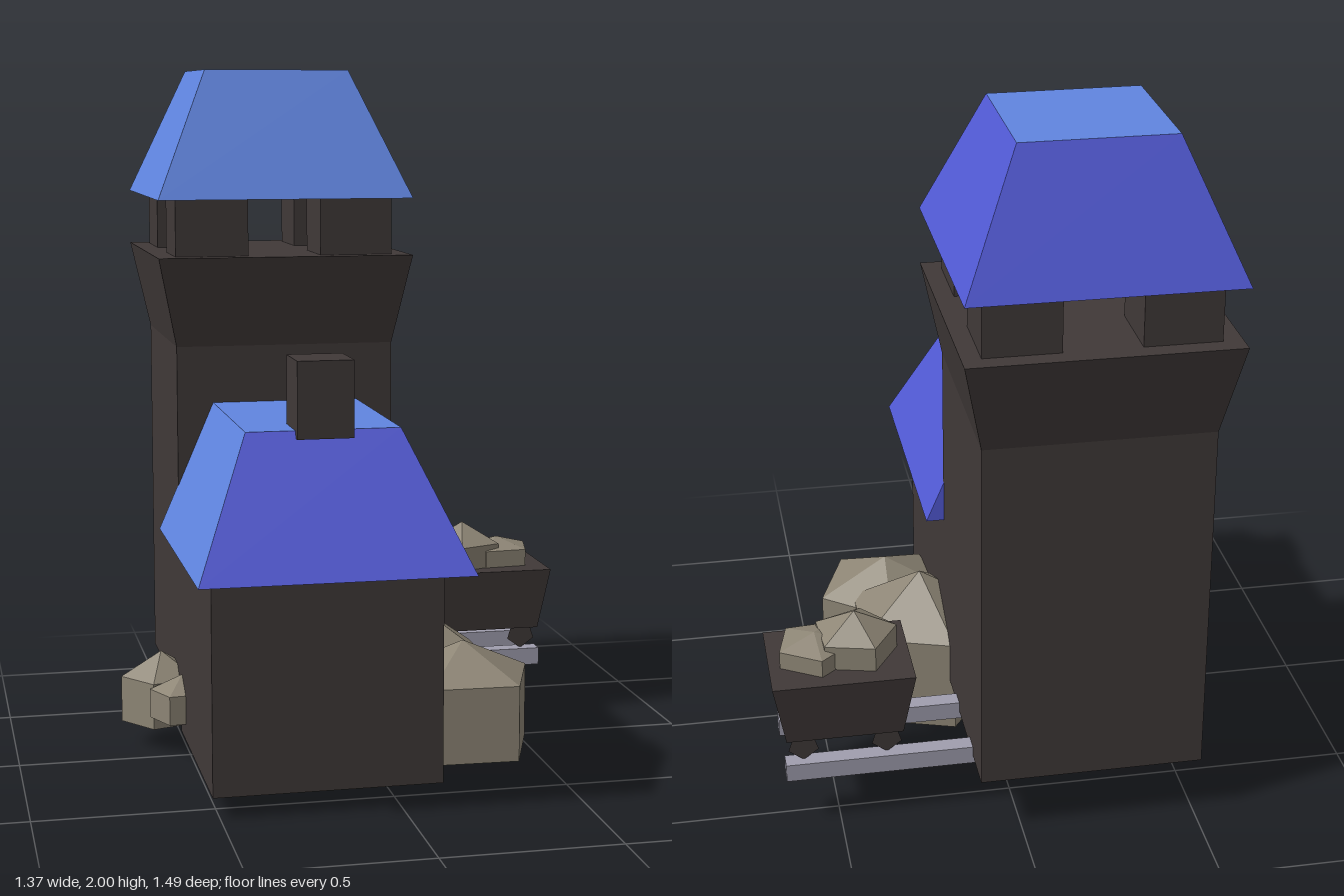
import * as THREE from 'three';

export function createModel() {
  const model = new THREE.Group();
  const mat = (name, color, side = THREE.FrontSide) => {
    const m = new THREE.MeshStandardMaterial({ color, side });
    m.name = name;
    return m;
  };
  const stone = mat('darkStone', 0x403938);
  const light = mat('lightBlueRoof', 0x6085e0);
  const violet = mat('violetBlueRoof', 0x525ad6);
  const rock = mat('tanRock', 0x8d8575, THREE.DoubleSide);
  const steel = mat('railSteel', 0xa09eae);
  const wheelMat = mat('wheelStone', 0x403938, THREE.DoubleSide);

  const add = (name, geometry, material, parent = model) => {
    const mesh = new THREE.Mesh(geometry, material);
    mesh.name = name;
    parent.add(mesh);
    return mesh;
  };
  const group = (name) => {
    const g = new THREE.Group();
    g.name = name;
    model.add(g);
    return g;
  };

  // Box between two rectangles [x0, x1, z0, z1] at heights y0 and y1
  const block = (y0, y1, bottom, top = bottom) => {
    const g = new THREE.BoxGeometry(1, 1, 1).toNonIndexed();
    const p = g.attributes.position;
    for (let i = 0; i < p.count; i++) {
      const r = p.getY(i) > 0 ? top : bottom;
      p.setXYZ(i, p.getX(i) > 0 ? r[1] : r[0], p.getY(i) > 0 ? y1 : y0, p.getZ(i) > 0 ? r[3] : r[2]);
    }
    g.computeVertexNormals();
    return g;
  };

  // Tower with a flared head, four pillars and a hipped roof
  const tower = group('tower');
  const shaft = [-0.52, 0.117, -0.69, -0.052];
  const wide = [-0.575, 0.17, -0.745, 0];
  add('towerShaft', block(0.165, 1.205, shaft), stone, tower);
  add('towerHead', block(1.205, 1.465, shaft, wide), stone, tower);
  for (const x of [-0.52, -0.095]) {
    for (const z of [-0.69, -0.265]) {
      add('towerPillar', block(1.465, 1.63, [x, x + 0.212, z, z + 0.213]), stone, tower);
    }
  }
  // Face order: right, left, top, bottom, front, back
  add('towerRoof', block(1.63, 2, wide, [-0.415, 0.01, -0.588, -0.162]),
    [violet, light, light, stone, light, violet], tower);

  // House with a hipped roof and chimney
  const house = group('house');
  add('houseWalls', block(0.06, 0.67, [-0.52, 0.117, -0.052, 0.59]), stone, house);
  add('houseRoof', block(0.67, 1.04, [-0.575, 0.17, -0.065, 0.745], [-0.415, 0.01, -0.06, 0.528]),
    [violet, light, light, stone, violet, violet], house);
  add('chimney', block(1.02, 1.23, [-0.28, -0.125, 0.4, 0.56]), stone, house);

  // Rails running out from the tower
  for (const z of [-0.295, -0.528]) {
    add('rail', block(0.14, 0.193, [0.11, 0.65, z - 0.026, z + 0.026]), steel);
  }

  // Mine cart with flat five-sided wheels
  const cart = group('cart');
  add('cartBody', block(0.26, 0.45, [0.313, 0.645, -0.538, -0.27], [0.278, 0.68, -0.563, -0.247]), stone, cart);
  for (const x of [0.36, 0.597]) {
    for (const z of [-0.295, -0.525]) {
      add('cartWheel', new THREE.CircleGeometry(0.045, 5, -Math.PI / 2), wheelMat, cart).position.set(x, 0.235, z);
    }
  }

  // Five-sided rocks, open below: x, z, radius, base, shoulder, tip, angle in degrees
  const rocks = [
    ['frontBoulder', 0.255, 0.27, 0.215, 0.06, 0.278, 0.375, -16],
    ['largeBoulder', 0.175, 0.065, 0.235, 0, 0.287, 0.43, 36],
    ['sideBoulder', -0.565, -0.155, 0.12, 0.07, 0.207, 0.28, 180],
    ['smallBoulder', -0.52, -0.02, 0.095, 0.11, 0.195, 0.24, 192],
    ['largeCartRock', 0.43, -0.397, 0.122, 0.448, 0.522, 0.585, 176],
    ['smallCartRock', 0.545, -0.405, 0.112, 0.448, 0.502, 0.532, 265],
  ];
  for (const [name, x, z, r, base, shoulder, tip, angle] of rocks) {
    const profile = [[r, base], [r, shoulder], [0, tip]].map(([a, b]) => new THREE.Vector2(a, b));
    const g = new THREE.LatheGeometry(profile, 5, THREE.MathUtils.degToRad(90 - angle)).toNonIndexed();
    g.computeVertexNormals();
    add(name, g, rock).position.set(x, 0, z);
  }

  return model;
}
